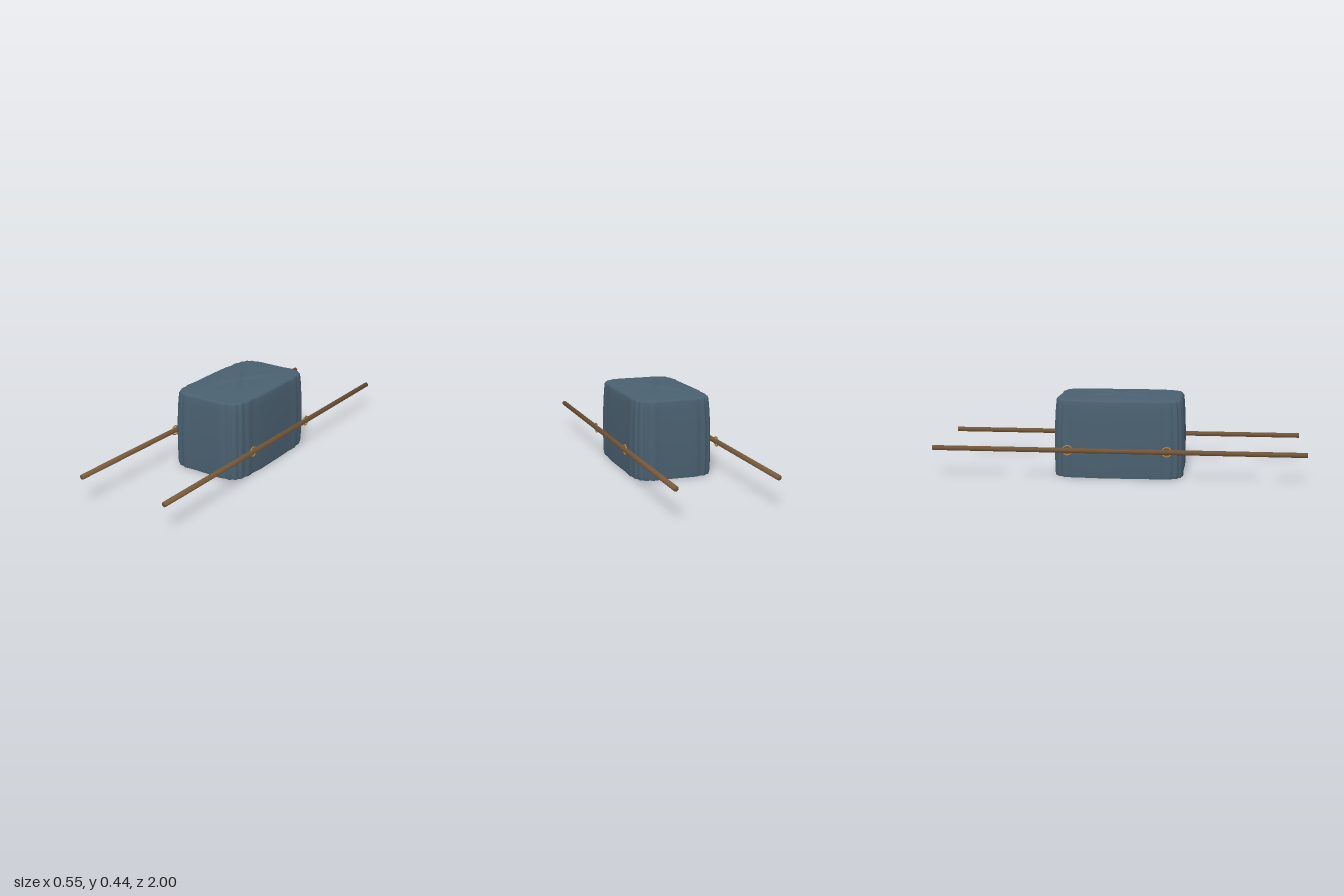
import * as THREE from 'three';

const cloth = new THREE.MeshStandardMaterial({ color: 0x4a6070 });
cloth.name = 'slate blue cloth';
const wood = new THREE.MeshStandardMaterial({ color: 0x7a5c3c });
wood.name = 'brown wood';
const gold = new THREE.MeshStandardMaterial({ color: 0xa88040 });
gold.name = 'dull gold';

// Draped cover: superellipse rings with folds gathered at the corners.
function coverGeometry() {
  const N = 128, FOLDS = 22;
  // y, outward offset, scale, vertical crinkle
  const rings = [
    [0, -0.002, 1, 0], [0.02, 0.001, 1, 0], [0.11, 0.002, 1, 0], [0.2, 0.002, 1, 0],
    [0.3, -0.001, 1, 0], [0.37, -0.005, 1, 0], [0.41, -0.009, 1, 0], [0.419, -0.014, 1, 0],
    [0.424, -0.024, 1, 0], [0.4285, -0.024, 0.65, 0], [0.432, -0.024, 0.36, 0.0015],
    [0.4335, -0.024, 0.2, 0.001], [0.435, 0, 0, 0],
  ];
  const pow = (v) => Math.sign(v) * Math.abs(v) ** (1 / 3);
  const pos = [], idx = [];
  for (const [y, d, s, crinkle] of rings) {
    for (let j = 0; j < N; j++) {
      const t = (j / N) * Math.PI * 2;
      const fold = Math.sin(t * FOLDS + 0.6);
      const w = d + 0.003 * fold;
      pos.push(s * (0.22 + w) * pow(Math.cos(t)), y + crinkle * fold, s * (0.351 + w) * pow(Math.sin(t)));
    }
  }
  for (let i = 0; i < rings.length - 1; i++) {
    for (let j = 0; j < N; j++) {
      const a = i * N + j, b = i * N + (j + 1) % N;
      idx.push(a, a + N, b);
      if (i < rings.length - 2) idx.push(b, a + N, b + N);
    }
  }
  const g = new THREE.BufferGeometry();
  g.setAttribute('position', new THREE.Float32BufferAttribute(pos, 3));
  g.setIndex(idx);
  g.computeVertexNormals();
  // Underside, a fan from one corner that keeps the soft wall normals
  const f = N / 8;
  for (let k = 1; k < N - 1; k++) idx.push(f, (f + k) % N, (f + k + 1) % N);
  g.setIndex(idx);
  return g;
}

// Carrying pole along z with normals softened over its ends.
function poleGeometry() {
  const R = 0.0135;
  const g = new THREE.CylinderGeometry(R, R, 2, 16).rotateX(Math.PI / 2);
  const p = g.attributes.position, n = g.attributes.normal;
  const v = new THREE.Vector3();
  for (let i = 0; i < p.count; i++) {
    v.set(p.getX(i) / R, p.getY(i) / R, Math.sign(p.getZ(i))).normalize();
    n.setXYZ(i, v.x, v.y, v.z);
  }
  return g;
}

export function createModel() {
  const model = new THREE.Group();
  model.name = 'coveredChest';
  const add = (name, geometry, material, x = 0, y = 0, z = 0) => {
    const mesh = new THREE.Mesh(geometry, material);
    mesh.name = name;
    mesh.position.set(x, y, z);
    model.add(mesh);
  };

  add('clothCover', coverGeometry(), cloth);

  // Poles and the rings that carry them
  const pole = poleGeometry();
  const ring = new THREE.TorusGeometry(0.025, 0.004, 8, 24).rotateY(Math.PI / 2);
  for (const [side, x] of [['left', 0.259], ['right', -0.259]]) {
    add(side + 'Pole', pole, wood, x, 0.159, 0);
    add(side + 'FrontRing', ring, gold, x, 0.159, 0.265);
    add(side + 'BackRing', ring, gold, x, 0.159, -0.265);
  }
  return model;
}
